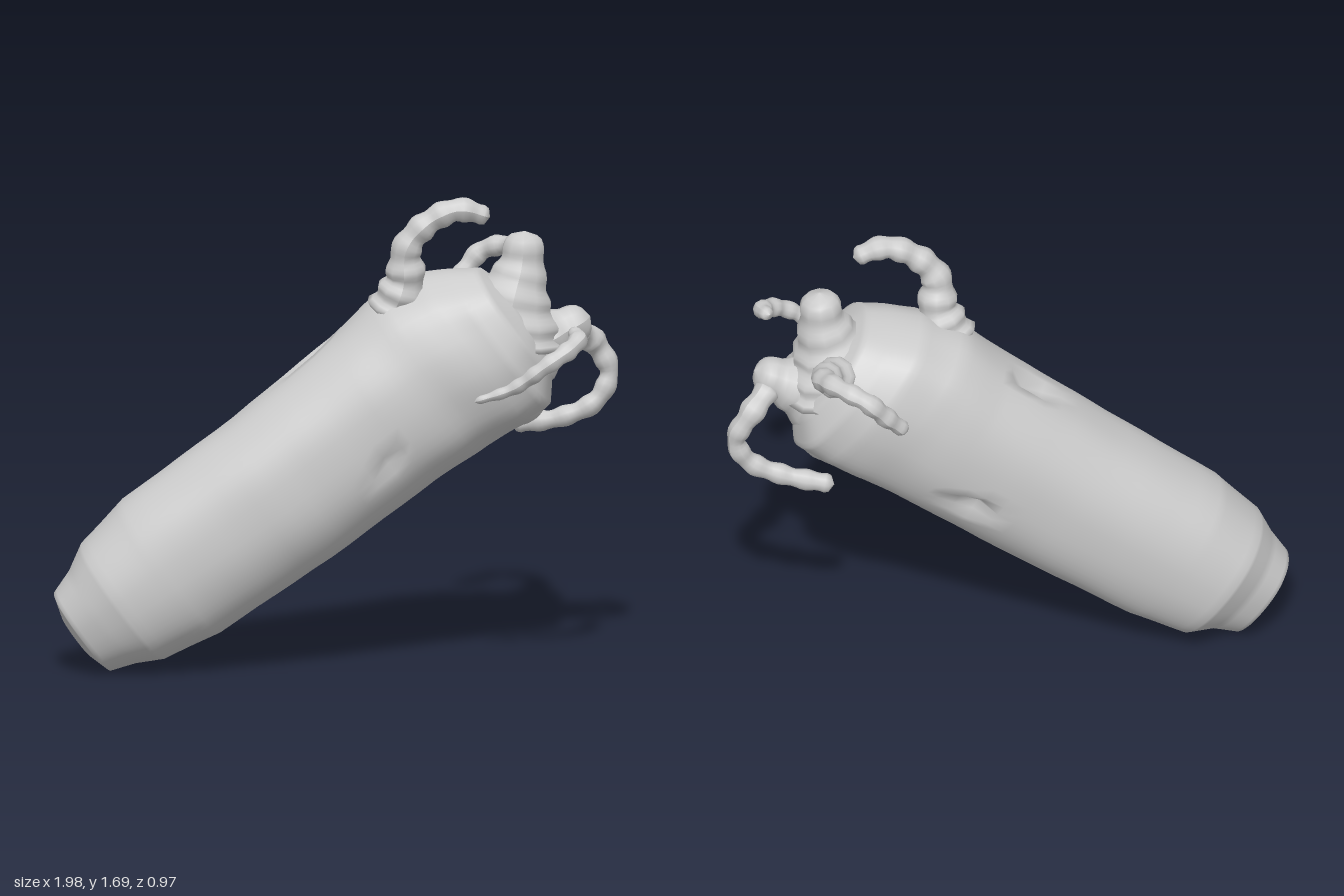
import * as THREE from 'three';

const grey = new THREE.MeshStandardMaterial({ color: 0xcccccc, side: THREE.DoubleSide });

// Slanted body axis (dx, dy); t is measured along its normal in the xy plane
const dx = 0.8, dy = 0.595;

// Cross-sections along the body: [s, tLow, tHigh, zBack, zFront]
const sections = [
  [-0.65, 0.64, 0.65, 0.17, 0.18],
  [-0.645, 0.56, 0.74, 0.09, 0.25],
  [-0.62, 0.48, 0.82, 0.01, 0.31],
  [-0.53, 0.45, 0.85, -0.03, 0.345],
  [-0.44, 0.4, 0.9, -0.1, 0.375],
  [-0.23, 0.358, 0.94, -0.125, 0.38],
  [0.25, 0.336, 0.94, -0.17, 0.37],
  [0.7, 0.336, 0.96, -0.22, 0.33],
  [0.92, 0.325, 0.985, -0.24, 0.305],
  [1.08, 0.302, 0.957, -0.25, 0.29],
  [1.18, 0.31, 0.9, -0.235, 0.28],
  [1.26, 0.4, 0.85, -0.19, 0.245],
  [1.3, 0.5, 0.74, -0.1, 0.15],
  [1.31, 0.62, 0.63, 0.01, 0.02],
];

// Small pits in the skin: [x, y, z, radius, depth]
const pits = [
  [-0.09, 1.11, 0.04, 0.06, 0.09],
  [0.18, 0.77, 0.3, 0.05, 0.04],
  [0.15, 0.77, -0.18, 0.06, 0.07],
];

function bodyGeometry() {
  const sides = 56, sub = 6, pos = [], index = [];
  const rows = (sections.length - 1) * sub;
  for (let i = 0; i <= rows; i++) {
    const k = Math.min(Math.floor(i / sub), sections.length - 2), f = i / sub - k;
    const [s, t0, t1, z0, z1] = sections[k].map((v, c) => THREE.MathUtils.lerp(v, sections[k + 1][c], f));
    const tm = (t0 + t1) / 2, zm = (z0 + z1) / 2;
    for (let j = 0; j < sides; j++) {
      const a = (j / sides) * Math.PI * 2, c = Math.cos(a), n = Math.sin(a);
      // Rounded-square section with gentle lumps, stronger near the head
      const lump = 1 + (0.006 + 0.014 * THREE.MathUtils.smoothstep(s, 0.6, 1.1))
        * Math.sin(3 * a + 9 * s) * Math.cos(5 * a - 14 * s);
      const t = tm + Math.sign(c) * Math.abs(c) ** 0.88 * (t1 - t0) / 2 * lump;
      const z = zm + Math.sign(n) * Math.abs(n) ** 0.88 * (z1 - z0) / 2 * lump;
      const p = new THREE.Vector3(dx * s - dy * t, dy * s + dx * t, z);
      const inward = new THREE.Vector3(dx * s - dy * tm, dy * s + dx * tm, zm).sub(p).normalize();
      for (const [x, y, pz, r, d] of pits) {
        const dist = p.distanceTo(new THREE.Vector3(x, y, pz));
        if (dist < r) p.addScaledVector(inward, d * (1 - (dist / r) ** 2));
      }
      pos.push(p.x, p.y, p.z);
      if (i < rows) {
        const q = i * sides + j, e = i * sides + (j + 1) % sides;
        index.push(q, e, q + sides, e, e + sides, q + sides);
      }
    }
  }
  const g = new THREE.BufferGeometry();
  g.setAttribute('position', new THREE.Float32BufferAttribute(pos, 3));
  g.setIndex(index);
  g.computeVertexNormals();
  return g;
}

// Tube along [x, y, z, radius] points, closed at both ends and slightly knobbly
function limb(name, points, wobble = 0.1) {
  const curve = new THREE.CatmullRomCurve3(points.map(p => new THREE.Vector3(p[0], p[1], p[2])));
  const steps = points.length * 7, sides = 10;
  const g = new THREE.TubeGeometry(curve, steps, 1, sides);
  const pos = g.attributes.position, v = new THREE.Vector3();
  for (let i = 0; i <= steps; i++) {
    const u = i / steps, centre = curve.getPointAt(u);
    const f = curve.getUtoTmapping(u) * (points.length - 1), k = Math.min(Math.floor(f), points.length - 2);
    let r = THREE.MathUtils.lerp(points[k][3], points[k + 1][3], f - k) * (1 + wobble * Math.sin(i * 1.1));
    if (i === 0 || i === steps) r = 0;
    else if (i === 1 || i === steps - 1) r *= 0.8;
    for (let j = 0; j <= sides; j++) {
      const n = i * (sides + 1) + j;
      v.fromBufferAttribute(pos, n).sub(centre).multiplyScalar(r).add(centre);
      pos.setXYZ(n, v.x, v.y, v.z);
    }
  }
  g.computeVertexNormals();
  const mesh = new THREE.Mesh(g, grey);
  mesh.name = name;
  return mesh;
}

export function createModel() {
  const model = new THREE.Group();
  model.name = 'tentacledWorm';

  const body = new THREE.Mesh(bodyGeometry(), grey);
  body.name = 'body';
  model.add(body);

  // Curled feelers around the head
  model.add(limb('topFeeler', [
    [0.2, 1.27, 0.1, 0.1], [0.25, 1.4, 0.12, 0.075], [0.26, 1.53, 0.14, 0.052],
    [0.34, 1.62, 0.14, 0.045], [0.44, 1.66, 0.13, 0.043], [0.55, 1.63, 0.11, 0.035],
  ]));
  model.add(limb('backFeeler', [
    [0.58, 1.25, -0.1, 0.1], [0.63, 1.33, -0.19, 0.06], [0.66, 1.39, -0.29, 0.042],
    [0.61, 1.43, -0.4, 0.035], [0.51, 1.4, -0.45, 0.036], [0.44, 1.32, -0.43, 0.035], [0.37, 1.24, -0.4, 0.025],
  ]));
  model.add(limb('lowerFeeler', [
    [0.84, 1.2, -0.05, 0.045], [0.91, 1.14, -0.13, 0.045], [0.965, 1.03, -0.14, 0.034],
    [0.92, 0.93, -0.13, 0.036], [0.8, 0.87, -0.13, 0.035], [0.62, 0.84, -0.15, 0.035],
  ]));
  model.add(limb('frontFeeler', [
    [0.5, 1.03, 0.43, 0.012], [0.64, 1.08, 0.435, 0.024], [0.75, 1.16, 0.45, 0.03],
    [0.83, 1.21, 0.41, 0.033], [0.865, 1.24, 0.35, 0.032], [0.84, 1.26, 0.29, 0.022],
  ]));

  // Blunt horn on the crown and snout pointing forward
  model.add(limb('crownHorn', [
    [0.6, 1.15, 0.01, 0.23], [0.63, 1.32, 0.01, 0.14], [0.66, 1.44, 0, 0.085], [0.67, 1.56, 0, 0.06],
  ], 0.05));
  model.add(limb('snout', [
    [0.55, 1.08, 0, 0.22], [0.7, 1.15, -0.01, 0.14], [0.8, 1.2, -0.02, 0.085], [0.9, 1.25, -0.03, 0.05],
  ], 0.05));

  // Fleshy lower lip beneath the snout
  const lip = new THREE.Mesh(new THREE.SphereGeometry(1, 20, 14), grey);
  lip.name = 'lowerLip';
  lip.scale.set(0.12, 0.13, 0.18);
  lip.position.set(0.64, 1.0, 0.02);
  model.add(lip);

  return model;
}
